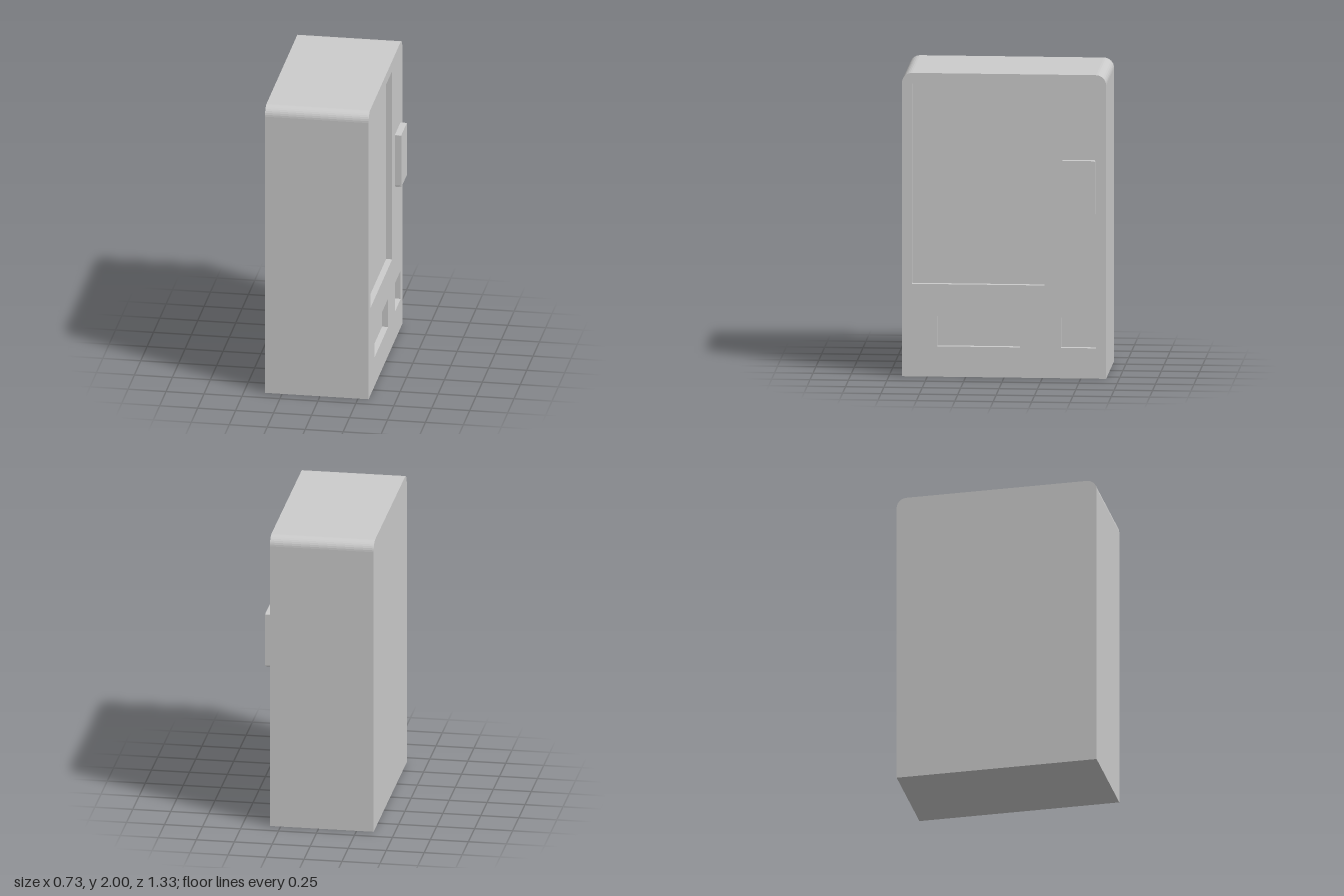
import * as THREE from 'three';

const BACK = -0.3625, FACE = 0.32, FLOOR = 0.28, PAD = 0.3625;
const material = new THREE.MeshStandardMaterial({ color: 0xcccccc, flatShading: true });

// Outlines are drawn in the (-z, y) plane, counter-clockwise as seen from +x.
function outline(s0, s1, y0, y1, rTop = 0, rBottom = 0, steps = 8) {
  const points = [];
  const corner = (s, y, r, start) => {
    if (!r) return points.push(new THREE.Vector2(s, y));
    const cs = s + (s === s0 ? r : -r), cy = y + (y === y0 ? r : -r);
    for (let i = 0; i <= steps; i++) {
      const a = start + (i / steps) * Math.PI / 2;
      points.push(new THREE.Vector2(cs + r * Math.cos(a), cy + r * Math.sin(a)));
    }
  };
  corner(s0, y0, rBottom, Math.PI);
  corner(s1, y0, rBottom, Math.PI * 1.5);
  corner(s1, y1, rTop, 0);
  corner(s0, y1, rTop, Math.PI / 2);
  return points;
}

// Wall following an outline; faces outward when x0 < x1, inward when x0 > x1.
function wall(points, x0, x1) {
  const v = [];
  points.forEach((a, i) => {
    const b = points[(i + 1) % points.length];
    const q = [[x0, a.y, -a.x], [x0, b.y, -b.x], [x1, b.y, -b.x], [x1, a.y, -a.x]];
    for (const k of [0, 1, 2, 0, 2, 3]) v.push(...q[k]);
  });
  const g = new THREE.BufferGeometry();
  g.setAttribute('position', new THREE.Float32BufferAttribute(v, 3));
  g.computeVertexNormals();
  return g;
}

// Flat panel at a given x, facing +x, or -x when flipped.
function panel(points, x, holes = [], flip = false) {
  const shape = new THREE.Shape(points);
  shape.holes = holes.map((h) => new THREE.Path(h));
  return new THREE.ShapeGeometry(shape).rotateY(flip ? -Math.PI / 2 : Math.PI / 2).translate(x, 0, 0);
}

function part(name, pieces) {
  const group = new THREE.Group();
  group.name = name;
  for (const [pieceName, geometry] of Object.entries(pieces)) {
    const mesh = new THREE.Mesh(geometry, material);
    mesh.name = name + pieceName;
    group.add(mesh);
  }
  return group;
}

export function createModel() {
  const model = new THREE.Group();
  model.name = 'vendingMachine';

  const recesses = {
    displayWindow: outline(-0.6, 0.265, 0.61, 1.93),
    dispenserSlot: outline(-0.435, 0.105, 0.2, 0.4),
    changeTray: outline(0.37, 0.6, 0.2, 0.4),
  };

  // Cabinet with rounded top corners and openings in its face
  const body = outline(-0.665, 0.665, 0, 2, 0.066);
  model.add(part('cabinet', {
    Sides: wall(body, BACK, FACE),
    Face: panel(body, FACE, Object.values(recesses)),
    Back: panel(body, BACK, [], true),
  }));

  // Shallow recesses
  for (const [name, points] of Object.entries(recesses)) {
    model.add(part(name, { Walls: wall(points, FACE, FLOOR), Floor: panel(points, FLOOR) }));
  }

  // Raised payment panel
  const pad = outline(0.377, 0.595, 1.075, 1.44, 0.008, 0.008, 3);
  model.add(part('paymentPanel', { Sides: wall(pad, FACE, PAD), Face: panel(pad, PAD) }));

  return model;
}
